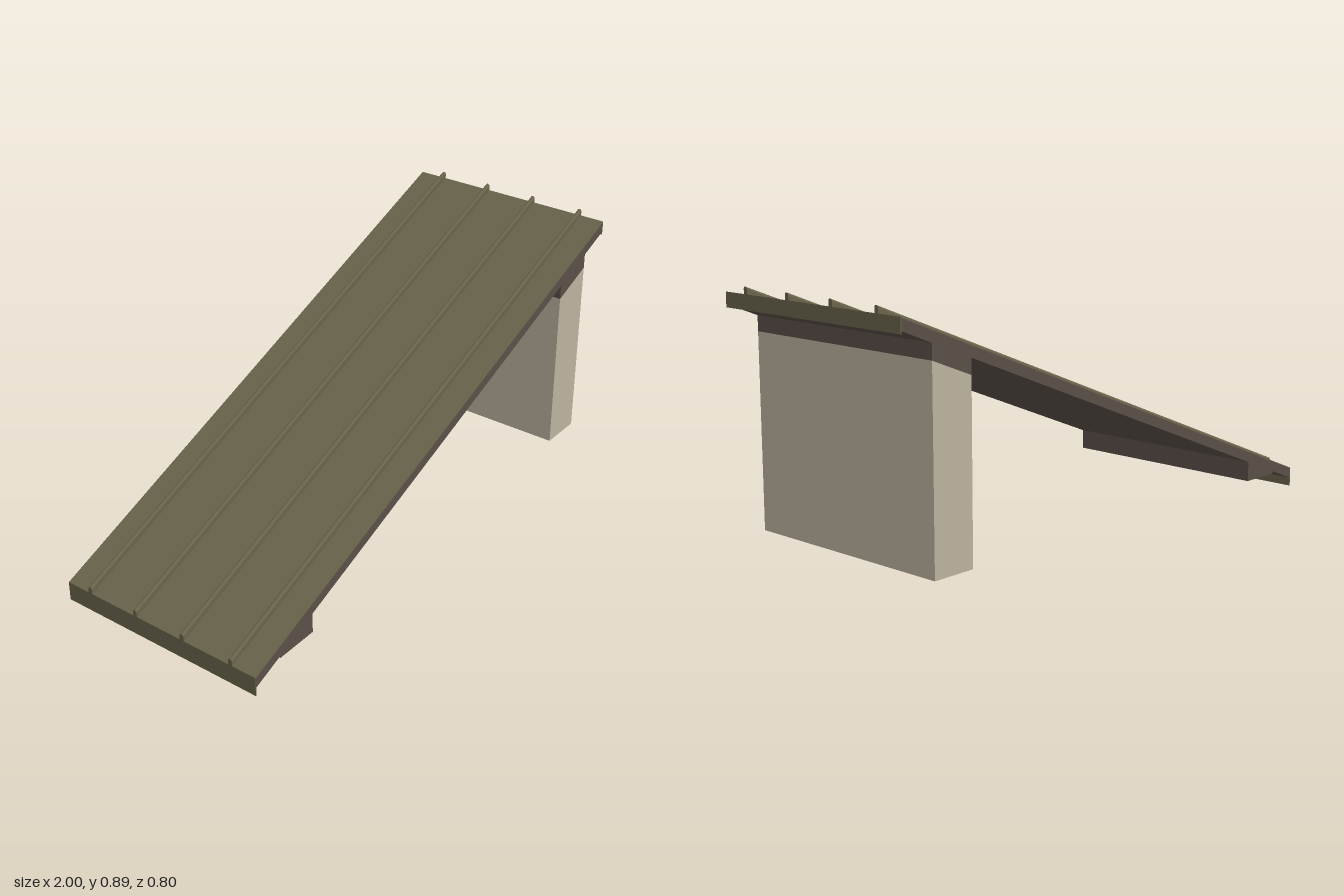
import * as THREE from 'three';

const SLOPE = 0.4, HALF = 0.4;
const underside = x => 0.43 + SLOPE * x; // underside of the roof deck
const deckTop = x => underside(x) + 0.037;
const sheetTop = x => underside(x) + 0.04;

const metal = new THREE.MeshStandardMaterial({ color: 0x6b654c });
const timber = new THREE.MeshStandardMaterial({ color: 0x5c5049 });
const plaster = new THREE.MeshStandardMaterial({ color: 0xbeb5a1 });

// Prism over the full depth, between two lines y(x) from x0 to x1
function prism(name, material, x0, x1, bottom, top) {
  const shape = new THREE.Shape([
    new THREE.Vector2(x0, bottom(x0)), new THREE.Vector2(x1, bottom(x1)),
    new THREE.Vector2(x1, top(x1)), new THREE.Vector2(x0, top(x0)),
  ]);
  const geometry = new THREE.ExtrudeGeometry(shape, { depth: 2 * HALF, bevelEnabled: false });
  geometry.translate(0, 0, -HALF);
  const mesh = new THREE.Mesh(geometry, material);
  mesh.name = name;
  return mesh;
}

// Round-topped standing seam, sheared to follow the slope
function seam(z) {
  const r = 0.008, h = 0.016;
  const shape = new THREE.Shape();
  shape.moveTo(-r, -0.002);
  shape.lineTo(r, -0.002);
  shape.lineTo(r, h);
  shape.absarc(0, h, r, 0, Math.PI, false);
  shape.closePath();
  const geometry = new THREE.ExtrudeGeometry(shape, { depth: 2, bevelEnabled: false, curveSegments: 4 });
  geometry.translate(0, 0, -1).rotateY(Math.PI / 2);
  const p = geometry.attributes.position;
  for (let i = 0; i < p.count; i++) p.setY(i, p.getY(i) + sheetTop(p.getX(i)));
  geometry.computeVertexNormals();
  const mesh = new THREE.Mesh(geometry, metal);
  mesh.name = 'standingSeam';
  mesh.position.z = z;
  return mesh;
}

export function createModel() {
  const model = new THREE.Group();
  model.name = 'leanToRoof';

  // Sloping deck with its metal sheet
  model.add(prism('roofDeck', timber, -0.997, 0.997, underside, deckTop));
  model.add(prism('roofSheet', metal, -1, 1, deckTop, sheetTop));
  for (const z of [-0.3, -0.1, 0.1, 0.3]) model.add(seam(z));

  // Thin metal trim on the low and high ends
  model.add(prism('eaveTrim', metal, -1, -0.997, () => 0, deckTop));
  model.add(prism('ridgeTrim', metal, 0.997, 1, () => 0.82, deckTop));

  // Wall with a bearing beam, and the low bearing block
  const beamBottom = x => underside(x) - 0.052;
  model.add(prism('wall', plaster, 0.72, 0.88, () => 0.07, beamBottom));
  model.add(prism('wallBeam', timber, 0.72, 0.88, beamBottom, underside));
  model.add(prism('eaveBeam', timber, -0.88, -0.72, () => 0.07, underside));
  return model;
}
